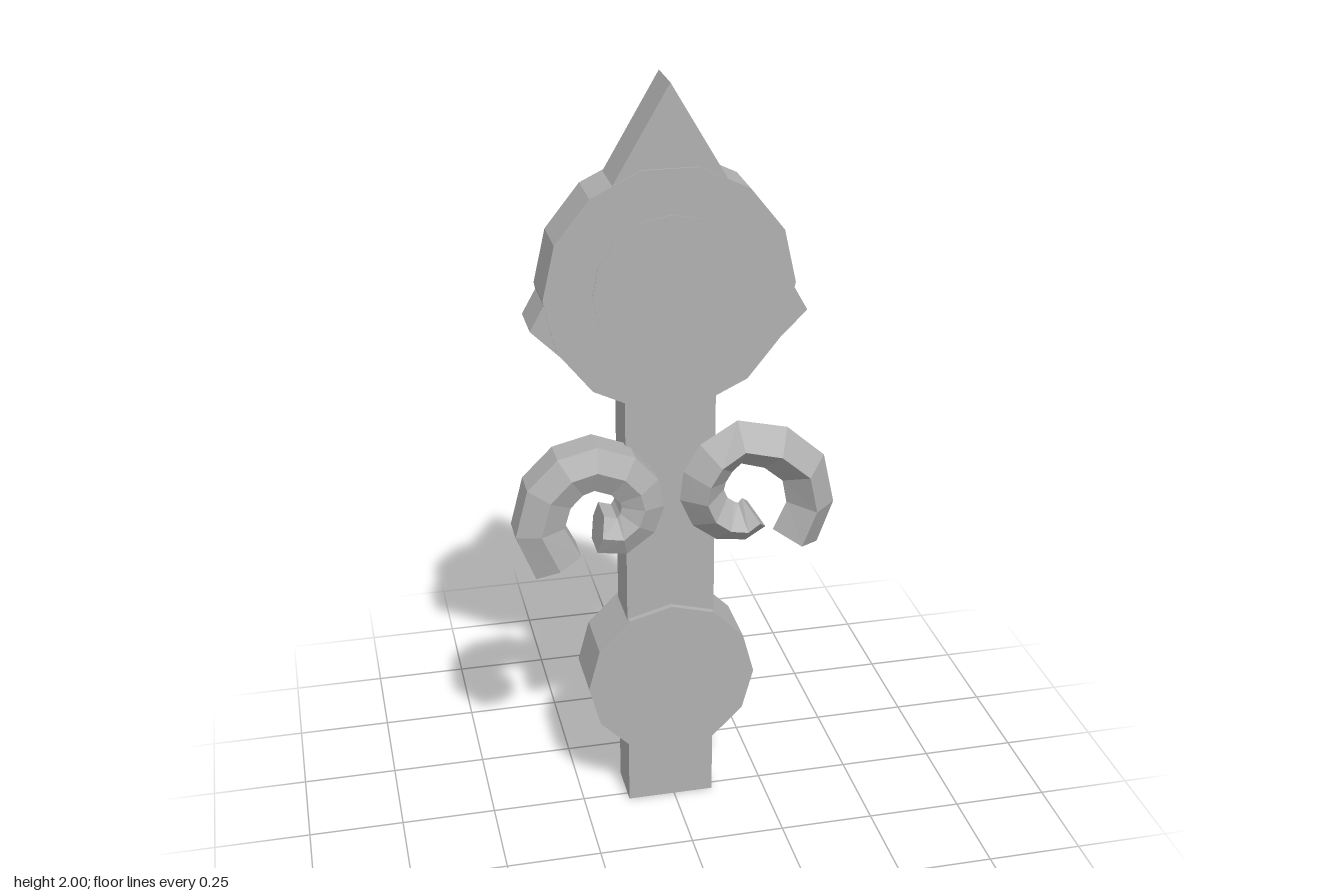
import * as THREE from 'three';

const AXIS = -0.01; // x of the ornament's centre line
const stone = new THREE.MeshStandardMaterial({ color: 0xb0b0b0 });
stone.name = 'grey';

function flat(geometry) {
  const g = geometry.index ? geometry.toNonIndexed() : geometry;
  g.computeVertexNormals();
  return g;
}

function add(group, name, geometry) {
  const mesh = new THREE.Mesh(flat(geometry), stone);
  mesh.name = name;
  group.add(mesh);
}

// Many-sided disc facing z, with corners on the x axis
function disc(radius, sides, y, z0, z1) {
  return new THREE.CylinderGeometry(radius, radius, z1 - z0, sides, 1, false, Math.PI / 2)
    .rotateX(Math.PI / 2)
    .translate(AXIS, y, (z0 + z1) / 2);
}

// Outline extruded through z
function slab(points, z0, z1) {
  const shape = new THREE.Shape(points.map(([x, y]) => new THREE.Vector2(x + AXIS, y)));
  return new THREE.ExtrudeGeometry(shape, { depth: z1 - z0, bevelEnabled: false })
    .translate(0, 0, z0);
}

// Faceted arm: a convex section [across, z] swept along a path in the xy plane
function scroll(path, section, z, r0, r1) {
  const pos = [], idx = [], n = section.length, last = path.length - 1;
  path.forEach(([x, y], i) => {
    const a = path[Math.max(i - 1, 0)], b = path[Math.min(i + 1, last)];
    const t = new THREE.Vector2(b[0] - a[0], b[1] - a[1]).normalize();
    const r = r0 + (r1 - r0) * i / last;
    for (const [u, v] of section) pos.push(x - t.y * u * r, y + t.x * u * r, z + v);
  });
  for (let i = 0; i < last; i++) {
    for (let j = 0; j < n; j++) {
      const a = i * n + j, b = i * n + (j + 1) % n;
      idx.push(a, b, a + n, b, b + n, a + n);
    }
  }
  // End caps
  const e = last * n;
  for (let j = 1; j < n - 1; j++) idx.push(0, j + 1, j, e, e + j, e + j + 1);
  const g = new THREE.BufferGeometry();
  g.setAttribute('position', new THREE.Float32BufferAttribute(pos, 3));
  g.setIndex(idx);
  return g;
}

export function createModel() {
  const group = new THREE.Group();
  group.name = 'ornament';
  const back = -0.1, front = 0.027;

  // Upright bar and lower boss
  add(group, 'bar', new THREE.BoxGeometry(0.234, 1.4, front - back)
    .translate(AXIS, 0.7, (front + back) / 2));
  add(group, 'lowerBoss', disc(0.226, 12, 0.38, -0.12, 0.043));

  // Head disc with a thin round plate on both faces
  add(group, 'headDisc', disc(0.317, 14, 1.485, -0.108, 0.031));
  add(group, 'headPlate', disc(0.195, 16, 1.485, -0.11, 0.033));

  // Points around the head
  add(group, 'topPoint', slab([[-0.2, 1.66], [0.2, 1.66], [0, 2]], back, front));
  for (const s of [1, -1]) {
    const pts = [[0.35, 1.408], [0.3, 1.497], [0.15, 1.42], [0.24, 1.298]];
    add(group, s > 0 ? 'leftPoint' : 'rightPoint',
      slab(pts.map(([x, y]) => [x * s, y]), back, front));
  }

  // Curled arms: one with a diamond section, one with a six-sided section
  const d = 0.0675;
  add(group, 'leftScroll', scroll(
    [[0.32, 0.785], [0.358, 0.88], [0.337, 0.98], [0.262, 1.045], [0.165, 1.07], [0.105, 1.03],
      [0.075, 0.98], [0.068, 0.93], [0.09, 0.88], [0.13, 0.85], [0.175, 0.842], [0.207, 0.865]],
    [[1, 0], [0, d], [-1, 0], [0, -d]], 0.0475, 0.065, 0.055));
  add(group, 'rightScroll', scroll(
    [[-0.315, 0.785], [-0.36, 0.888], [-0.335, 0.98], [-0.28, 1.035], [-0.215, 1.052], [-0.145, 1.025],
      [-0.105, 0.98], [-0.095, 0.935], [-0.11, 0.89], [-0.15, 0.857], [-0.205, 0.867]],
    [[1, -0.042], [1, 0.042], [0, d], [-1, 0.042], [-1, -0.042], [0, -d]], 0.0475, 0.064, 0.052));

  return group;
}
